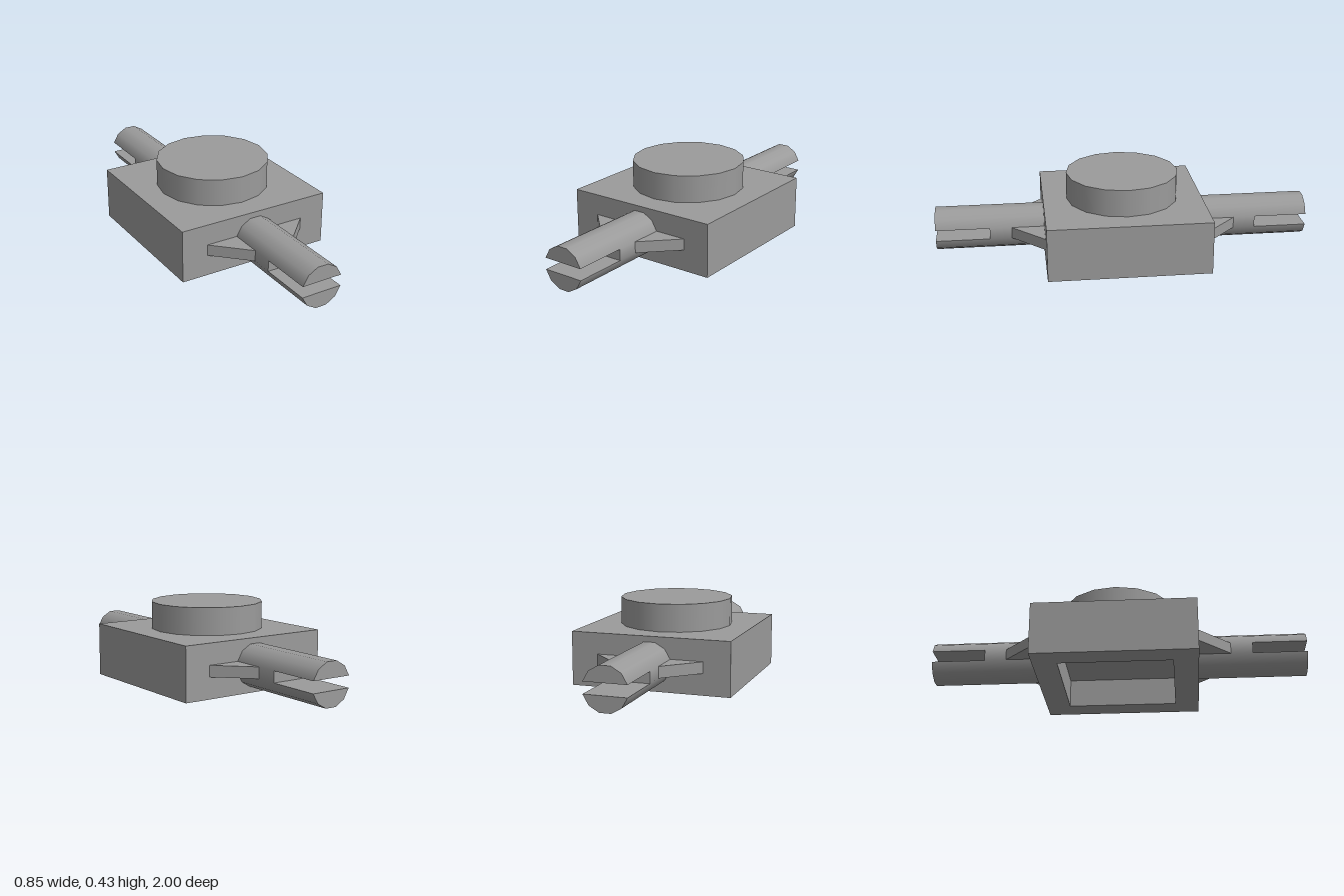
import * as THREE from 'three';
import { toCreasedNormals } from 'three/addons/utils/BufferGeometryUtils.js';

const BODY = 0.427, HEIGHT = 0.285;      // body half width and height
const AXIS_Y = 0.1435, PIN_R = 0.115;    // pin axis height and radius
const SLOT_START = 0.715, PIN_END = 1;

export function createModel() {
  const model = new THREE.Group();
  const material = new THREE.MeshStandardMaterial({ color: 0x9b9b9b });

  const add = (parent, name, geometry) => {
    const mesh = new THREE.Mesh(geometry, material);
    mesh.name = name;
    parent.add(mesh);
    return mesh;
  };

  // Square body with a recess underneath: a four-sided lathe
  const s = Math.SQRT2, recess = 0.297, depth = 0.155;
  const profile = [
    [0, depth], [recess * s, depth], [recess * s, 0],
    [BODY * s, 0], [BODY * s, HEIGHT], [0, HEIGHT],
  ].map(([r, y]) => new THREE.Vector2(r, y));
  add(model, 'body', toCreasedNormals(new THREE.LatheGeometry(profile, 4, Math.PI / 4), 0.3));

  // Round stud on top
  const stud = add(model, 'stud', new THREE.CylinderGeometry(0.3, 0.3, 0.145, 16));
  stud.position.y = HEIGHT + 0.0725;

  // Twelve-sided pin section, from corner "first" over "count" corners
  const pinSection = (first, count, z0, z1) => {
    const corners = Array.from({ length: count }, (_, i) => {
      const a = (first + i + 0.5) * Math.PI / 6;
      return new THREE.Vector2(PIN_R * Math.cos(a), PIN_R * Math.sin(a));
    });
    const g = new THREE.ExtrudeGeometry(new THREE.Shape(corners), { depth: z1 - z0, bevelEnabled: false });
    // Round the outer faces with radial normals, keeping slot and end faces flat
    const { position, normal } = g.attributes;
    const radial = new THREE.Vector3(), n = new THREE.Vector3();
    for (let i = 0; i < position.count; i++) {
      radial.set(position.getX(i), position.getY(i), 0).normalize();
      if (n.fromBufferAttribute(normal, i).dot(radial) > 0.8) normal.setXYZ(i, radial.x, radial.y, 0);
    }
    return g.translate(0, AXIS_Y, z0);
  };

  // Triangular web bracing the pin on both sides
  const webGeometry = () => {
    const outline = [[-0.285, BODY], [0.285, BODY], [0.11, 0.6], [-0.11, 0.6]]
      .map(([x, z]) => new THREE.Vector2(x, z));
    const g = new THREE.ExtrudeGeometry(new THREE.Shape(outline), { depth: 0.06, bevelEnabled: false });
    return g.rotateX(Math.PI / 2).translate(0, AXIS_Y + 0.03, 0);
  };

  // Slotted pins at the front and back
  for (const [name, turn] of [['frontPin', 0], ['backPin', Math.PI]]) {
    const pin = new THREE.Group();
    pin.name = name;
    pin.rotation.y = turn;
    add(pin, 'pinShaft', pinSection(0, 12, BODY, SLOT_START));
    add(pin, 'upperProng', pinSection(0, 6, SLOT_START, PIN_END));
    add(pin, 'lowerProng', pinSection(6, 6, SLOT_START, PIN_END));
    add(pin, 'gussets', webGeometry());
    model.add(pin);
  }

  return model;
}
